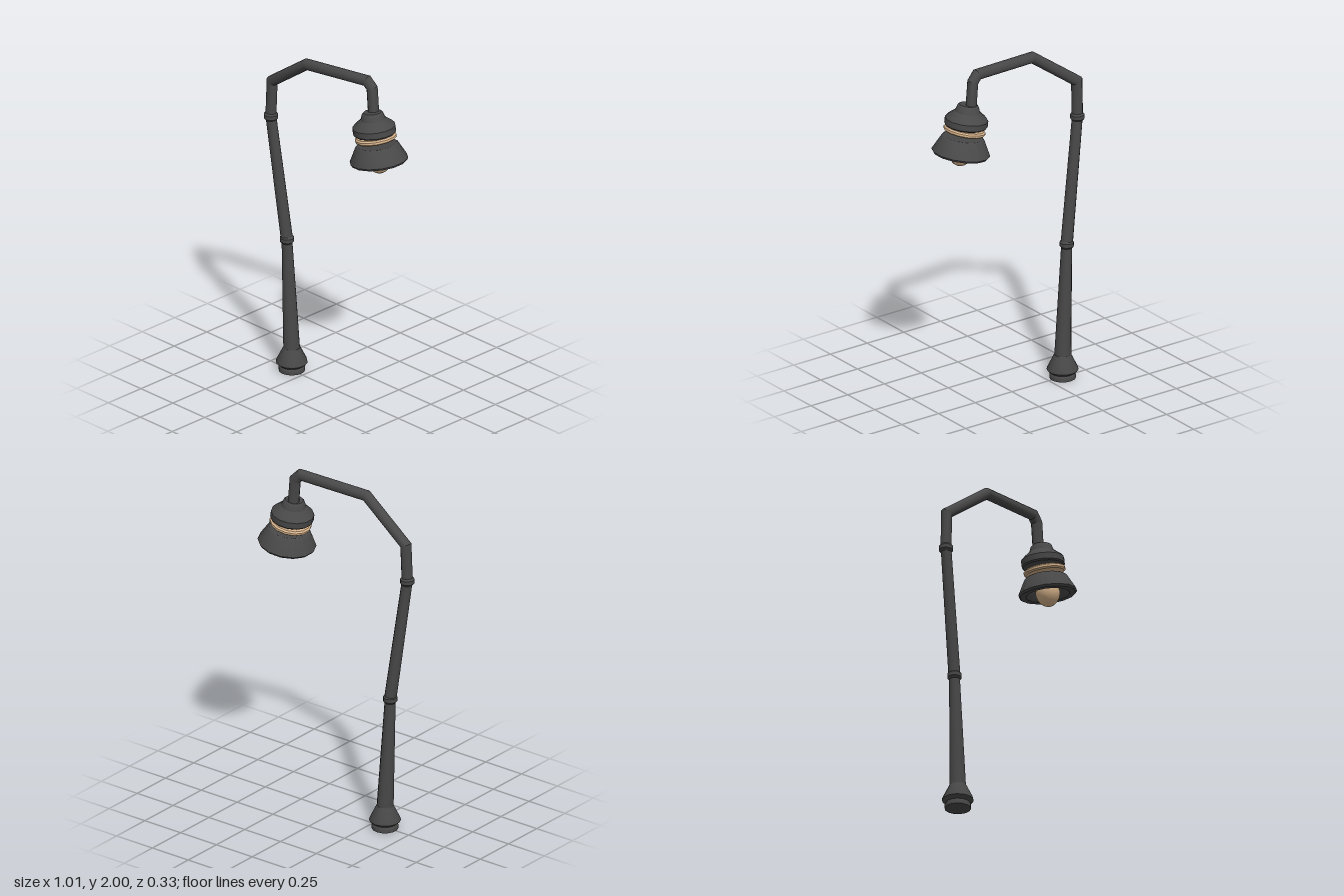
import * as THREE from 'three';
import { toCreasedNormals } from 'three/addons/utils/BufferGeometryUtils.js';

const V = (x, y, z) => new THREE.Vector3(x, y, z);
const UP = V(0, 1, 0);
const metal = new THREE.MeshStandardMaterial({ color: 0x484848 });
const glow = new THREE.MeshStandardMaterial({ color: 0xd8b48c });

function part(name, geometry, material, creased = true) {
  const mesh = new THREE.Mesh(creased ? toCreasedNormals(geometry, 0.56) : geometry, material);
  mesh.name = name;
  return mesh;
}

// Solid of revolution from [radius, height] pairs listed bottom to top
function turned(name, pairs, material, sides = 14) {
  const profile = pairs.map(([r, y]) => new THREE.Vector2(r, y));
  return part(name, new THREE.LatheGeometry(profile, sides), material);
}

// Tapered pole between two points
function pole(name, a, b, ra, rb) {
  const dir = b.clone().sub(a);
  const mesh = part(name, new THREE.CylinderGeometry(rb, ra, dir.length(), 12), metal);
  mesh.position.copy(a).add(b).multiplyScalar(0.5);
  mesh.quaternion.setFromUnitVectors(UP, dir.normalize());
  return mesh;
}

// Round pipe with straight runs and mitred joints
function mitredPipe(points, radius, sides = 12) {
  const dirs = points.slice(1).map((p, i) => p.clone().sub(points[i]).normalize());
  const u = V(0, 0, 1).cross(dirs[0]).normalize();
  const v = dirs[0].clone().cross(u);
  let ring = Array.from({ length: sides }, (_, k) => {
    const a = (k / sides) * Math.PI * 2;
    return points[0].clone().addScaledVector(u, radius * Math.cos(a)).addScaledVector(v, radius * Math.sin(a));
  });
  const out = [];
  dirs.forEach((d, i) => {
    const joint = points[i + 1];
    const n = d.clone().add(dirs[i + 1] ?? d);
    const next = ring.map((p) => p.clone().addScaledVector(d, joint.clone().sub(p).dot(n) / d.dot(n)));
    for (let k = 0; k < sides; k++) {
      const m = (k + 1) % sides;
      for (const p of [ring[k], ring[m], next[m], ring[k], next[m], next[k]]) out.push(p.x, p.y, p.z);
    }
    ring = next;
  });
  const g = new THREE.BufferGeometry();
  g.setAttribute('position', new THREE.Float32BufferAttribute(out, 3));
  return g;
}

export function createModel() {
  const model = new THREE.Group();
  model.name = 'streetLamp';

  const foot = V(-0.34, 0, -0.006);
  const neck = V(-0.341, 0.13, -0.006);
  const middle = V(-0.372, 0.79, 0);
  const top = V(-0.467, 1.52, 0.03);

  // Flared foot
  const base = turned('base', [
    [0, 0], [0.073, 0], [0.073, 0.022], [0.067, 0.032],
    [0.088, 0.05], [0.085, 0.063], [0.047, 0.14], [0, 0.14],
  ], metal);
  base.position.copy(foot);
  model.add(base);

  // Two leaning post sections
  model.add(pole('lowerPost', neck, middle, 0.047, 0.03));
  model.add(pole('upperPost', middle, top, 0.034, 0.03));

  // Collars at the post joints
  for (const [name, p] of [['middleCollar', middle], ['topCollar', top]]) {
    const collar = turned(name, [
      [0, -0.023], [0.03, -0.023], [0.04, -0.011], [0.04, 0.011], [0.03, 0.023], [0, 0.023],
    ], metal, 12);
    collar.position.copy(p);
    model.add(collar);
  }

  // Bent arm reaching over to the lamp
  const arm = [
    top, V(-0.46, 1.735, 0.027), V(-0.17, 1.944, 0.046),
    V(0.245, 1.97, -0.01), V(0.279, 1.935, -0.016), V(0.293, 1.76, -0.016),
  ];
  model.add(part('arm', mitredPipe(arm, 0.031), metal));

  // Tilted lamp head, origin at the centre of the shade's lower rim
  const head = new THREE.Group();
  head.name = 'lampHead';
  head.position.set(0.35, 1.52, 0);
  head.rotation.z = 0.17;
  model.add(head);

  head.add(turned('shade', [
    [0, 0.06], [0.09, 0.06], [0.115, 0.004], [0.122, -0.004], [0.155, -0.004],
    [0.163, 0.008], [0.119, 0.094], [0.11, 0.1], [0, 0.1],
  ], metal));

  const ring = turned('glowRing', [
    [0, -0.014], [0.108, -0.014], [0.117, -0.006], [0.117, 0.006], [0.108, 0.014], [0, 0.014],
  ], glow);
  ring.position.set(-0.003, 0.135, 0);
  ring.rotation.z = 0.06;
  head.add(ring);

  const cap = turned('cap', [
    [0, 0], [0.113, 0], [0.12, 0.008], [0.12, 0.042], [0.108, 0.056],
    [0.07, 0.086], [0.059, 0.118], [0.05, 0.126], [0, 0.126],
  ], metal);
  cap.position.set(-0.008, 0.16, 0);
  cap.rotation.z = -0.03;
  head.add(cap);

  // Bulb hanging out of the shade
  const bulb = part('bulb', new THREE.SphereGeometry(0.068, 16, 12), glow, false);
  bulb.scale.y = 1.2;
  bulb.position.y = 0.012;
  head.add(bulb);

  return model;
}
